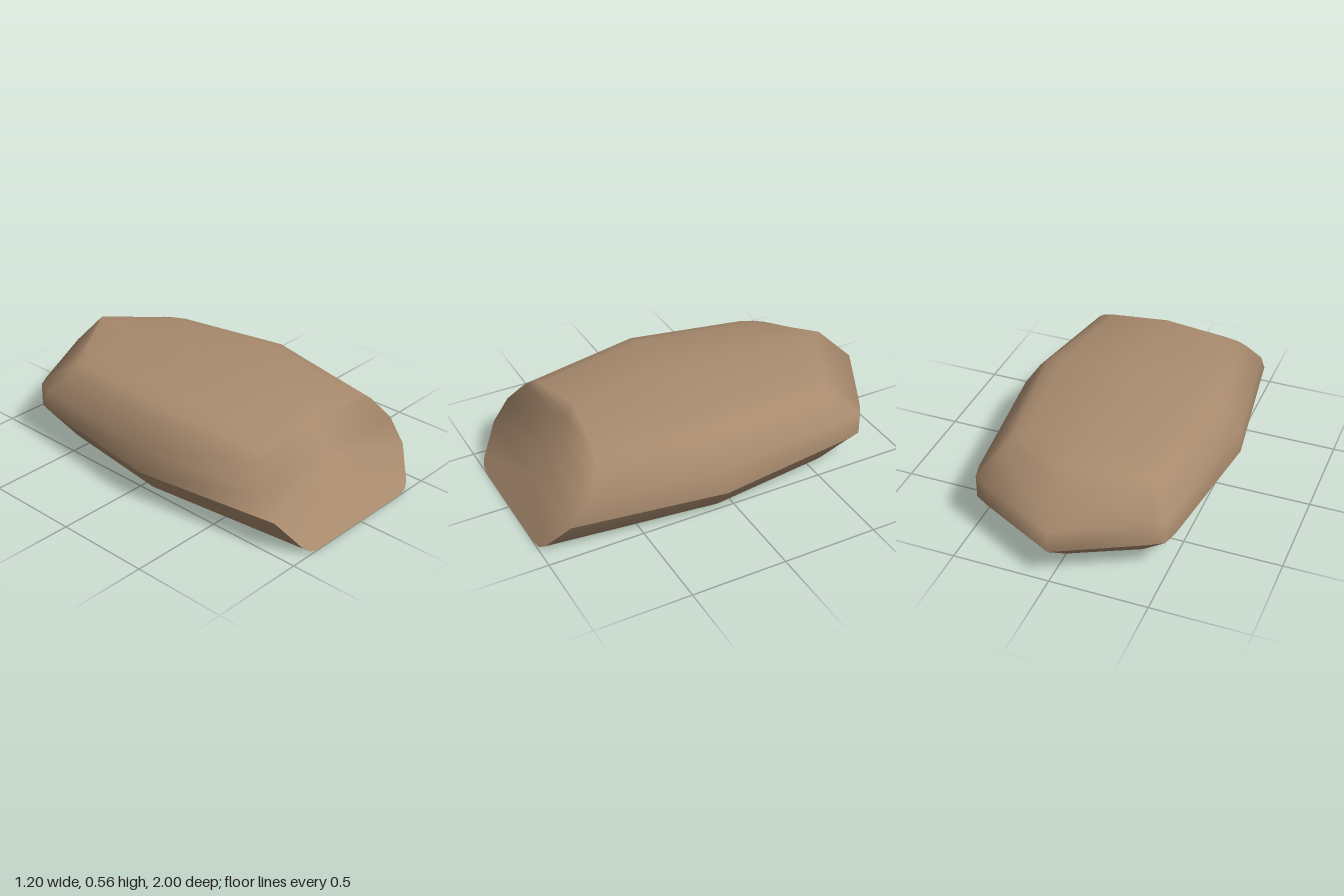
import * as THREE from 'three';
import { mergeVertices } from 'three/addons/utils/BufferGeometryUtils.js';

const V = (x, y, z) => new THREE.Vector3(x, y, z);
const mix = (a, b, t) => a.clone().lerp(b, t);

// Three points that round off corner c between neighbours a and b
function rounded(a, c, b, ta, tb) {
  const p = mix(c, a, ta), q = mix(c, b, tb);
  return [p, mix(mix(p, c, 0.5), mix(c, q, 0.5), 0.5), q];
}

// Slanted front plane and gently sloping ridge
const frontZ = (y) => 1 - 0.725 * y;
const ridgeY = (z) => 0.565 - 0.055 * (z > 0.09 ? (z - 0.09) / 0.54 : (0.09 - z) / 0.88);

// Half-profile from the ridge down over shoulder, belt and chine to the bottom centre
function profile({ ridge, shoulder, beltTop, beltLow, chine, keel }) {
  const r = V(0, ridgeY(ridge), ridge), s = V(...shoulder);
  const t = V(...beltTop), l = V(...beltLow), c = V(...chine), k = V(0, 0, keel);
  return [r, ...rounded(r, s, t, 0.2, 0.27), t, l, ...rounded(l, c, k, 0.2, 0.2), k];
}
const BELT = 5; // index of the lower belt point

const columns = [
  { ridge: 0.63, shoulder: [0.4, 0.437, frontZ(0.437)], beltTop: [0.495, 0.29, frontZ(0.29)],
    beltLow: [0.495, 0.172, frontZ(0.172)], chine: [0.38, 0, 1], keel: 1 },
  { ridge: 0.09, shoulder: [0.476, 0.482, 0.09], beltTop: [0.6, 0.303, 0.09],
    beltLow: [0.6, 0.166, 0.09], chine: [0.475, 0, 0.09], keel: 0.09 },
  // rounded rear corner
  ...[[0.51, -0.66, 0.395, 0.452, -0.53, -0.5],
    [0.488, -0.742, 0.372, 0.447, -0.59, -0.58],
    [0.42, -0.785, 0.33, 0.451, -0.635, -0.64]].map(([x, z, sx, sy, sz, r]) => (
    { ridge: r, shoulder: [sx, sy, sz], beltTop: [x, 0.3, z], beltLow: [x, 0.18, z],
      chine: [sx, 0, sz], keel: r })),
  // rear stem on the centre line
  { ridge: -0.79, shoulder: [0, 0.51, -0.79], beltTop: [0, 0.3, -1],
    beltLow: [0, 0.18, -1], chine: [0, 0, -0.79], keel: -0.79 },
].map(profile);

// Skin between neighbouring profiles, mirrored to both sides
function skin(strips) {
  const pos = [];
  const tri = (a, b, c) => {
    if (mix(b, a, 0).sub(a).cross(mix(c, a, 0).sub(a)).lengthSq() < 1e-12) return;
    for (const p of [a, b, c]) pos.push(p.x, p.y, p.z);
    for (const p of [a, c, b]) pos.push(-p.x, p.y, p.z);
  };
  for (const [p, q] of strips) {
    for (let j = 0; j < p.length - 1; j++) {
      tri(p[j], p[j + 1], q[j + 1]);
      tri(p[j], q[j + 1], q[j]);
    }
  }
  const g = new THREE.BufferGeometry();
  g.setAttribute('position', new THREE.Float32BufferAttribute(pos, 3));
  const merged = mergeVertices(g, 1e-4);
  merged.computeVertexNormals();
  return merged;
}

export function createModel() {
  const group = new THREE.Group();
  group.name = 'smoothStone';
  const brown = new THREE.MeshStandardMaterial({ color: 0xa98b6e });
  brown.name = 'warmBrown';

  const pairs = columns.slice(1).map((c, i) => [columns[i], c]);
  const cut = (from, to) => pairs.map((pair) => pair.map((c) => c.slice(from, to)));

  // Upper shell, with the slanted front face reaching down to the ground
  const centre = columns[0].map((p) => V(0, p.y, p.z));
  const upper = new THREE.Mesh(skin([[centre, columns[0]], ...cut(0, BELT + 1)]), brown);
  upper.name = 'upperShell';

  // Undercut sides and flat bottom, creased along the belt
  const lower = new THREE.Mesh(skin(cut(BELT)), brown);
  lower.name = 'lowerShell';

  group.add(upper, lower);
  return group;
}
